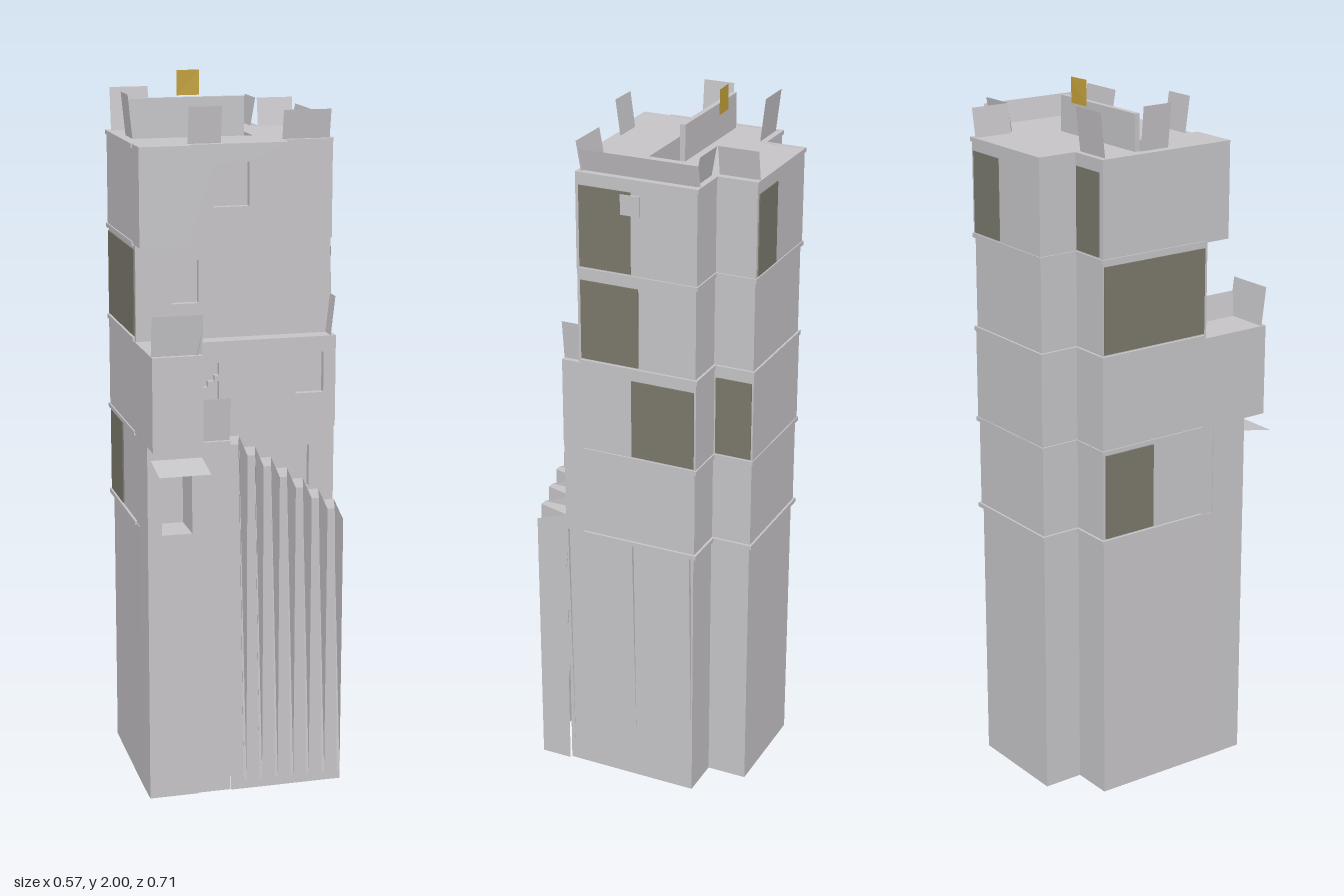
import * as THREE from 'three';

const mat = (name, color) => {
  const m = new THREE.MeshStandardMaterial({ color, side: THREE.DoubleSide, flatShading: true });
  m.name = name;
  return m;
};

export function createModel() {
  const stone = mat('stone grey', 0xc6c4c7);
  const glass = mat('dark window', 0x7b796c);
  const gold = mat('gold', 0xc4a23c);
  const group = new THREE.Group();

  const add = (name, geo, m = stone) => {
    const mesh = new THREE.Mesh(geo, m);
    mesh.name = name;
    group.add(mesh);
    return mesh;
  };
  const faces = (pts) => {
    const g = new THREE.BufferGeometry();
    g.setAttribute('position', new THREE.Float32BufferAttribute(pts.flat(), 3));
    g.computeVertexNormals();
    return g;
  };
  // four corners in order around the face
  const quad = (a, b, c, d) => [a, b, c, a, c, d];
  const plan = (pts) => new THREE.Shape(pts.map(([x, z]) => new THREE.Vector2(x, -z)));
  const rect = (x0, x1, y0, y1, T = THREE.Shape) => new T([[x0, y0], [x1, y0], [x1, y1], [x0, y1]]
    .map(([x, y]) => new THREE.Vector2(x, y)));
  // closed storey raised from a plan outline
  const storey = (name, shape, y0, y1) => {
    const g = new THREE.ExtrudeGeometry(shape, { depth: y1 - y0, bevelEnabled: false });
    g.rotateX(-Math.PI / 2).translate(0, y0, 0);
    return add(name, g);
  };
  // hollow shell, open at the bottom
  const shell = (name, pts, y1) => {
    const v = [];
    pts.forEach(([x, z], i) => {
      const [x2, z2] = pts[(i + 1) % pts.length];
      v.push(...quad([x, 0, z], [x2, 0, z2], [x2, y1, z2], [x, y1, z]));
    });
    add(name, faces(v));
    add(name + 'Top', new THREE.ShapeGeometry(plan(pts)).rotateX(-Math.PI / 2).translate(0, y1, 0));
  };
  // front wall with window openings
  const facade = (name, x0, x1, y0, y1, zFront, depth, openings) => {
    const s = rect(x0, x1, y0, y1);
    openings.forEach((o) => s.holes.push(rect(...o, THREE.Path)));
    add(name, new THREE.ExtrudeGeometry(s, { depth, bevelEnabled: false }).translate(0, 0, zFront - depth));
  };
  // outline: shared rear T shape, front edge given from right to left
  const rear = (e, front) => [
    [-0.28 + e, -0.24 + e], [-0.16 + e, -0.24 + e], [-0.16 + e, -0.355 + e], [0.16 - e, -0.355 + e],
    [0.16 - e, -0.24 + e], [0.28 - e, -0.24 + e], ...front].reverse();

  // lower tower, column and landing
  shell('towerBase', rear(0.007, [[0.273, 0.158], [-0.28, 0.158]]), 0.77);
  storey('lowerStorey', plan(rear(0.003, [[0.277, 0.14], [-0.277, 0.14]])), 0.77, 1.03);
  facade('lowerFront', -0.14, 0.277, 0.77, 1.03, 0.16, 0.02, [[0.15, 0.205, 0.86, 0.98]]);
  shell('frontColumn', [[-0.28, 0.158], [-0.28, 0.25], [-0.14, 0.25], [-0.14, 0.158]], 0.77);
  facade('columnWindowWall', -0.28, -0.14, 0.77, 1.03, 0.25, 0.11, [[-0.24, -0.155, 0.775, 0.975]]);
  shell('stairLanding', [[-0.14, 0.158], [-0.14, 0.246], [-0.045, 0.246], [-0.045, 0.158]], 1.03);
  add('awning', faces(quad([-0.27, 0.99, 0.25], [-0.127, 0.99, 0.25], [-0.127, 0.97, 0.355], [-0.27, 0.97, 0.355])));

  // outer stair: sawtooth treads over a pleated wall that flattens at the ground
  const stair = [];
  const n = 7, w = 0.325 / n;
  for (let i = 0; i < n; i++) {
    const x = -0.045 + i * w, y = 1.03 - i * 0.034 - 0.01, xm = x + 0.021, x2 = x + w;
    const yb = 0.025, zb = 0.25;
    stair.push(
      ...quad([x, y, 0.16], [x, y, 0.25], [xm, y, 0.25], [x2, y, 0.16]),
      ...quad([x, yb, zb], [x2 - 0.008, yb, zb], [xm, y, 0.25], [x, y, 0.25]),
      [x2 - 0.008, yb, zb], [x2, y, 0.16], [xm, y, 0.25],
      [x2 - 0.008, yb, zb], [x2, yb, zb], [x2, y, 0.16],
      [x2, yb, zb], [x2, y - 0.034, 0.25], [x2, y, 0.16],
      ...quad([x, 0, zb], [x2, 0, zb], [x2, yb, zb], [x, yb, zb]));
  }
  stair.push(...quad([0.28, 0, 0.25], [0.28, 0, 0.16], [0.28, 0.8, 0.16], [0.28, 0.77, 0.25]));
  add('outerStair', faces(stair));

  // upper storeys
  storey('middleStorey', plan(rear(0, [[0.28, 0.14], [-0.14, 0.14], [-0.14, 0.32], [-0.28, 0.32]])), 1.03, 1.29);
  facade('middleFront', -0.14, 0.28, 1.03, 1.29, 0.16, 0.02,
    [[0.165, 0.245, 1.13, 1.245], [-0.135, -0.055, 1.04, 1.23]]);
  storey('thirdStorey', plan(rear(0.003, [[0.277, 0.09], [-0.277, 0.09]])), 1.29, 1.56);
  facade('thirdFront', -0.277, 0.277, 1.29, 1.56, 0.11, 0.02, [[-0.175, -0.1, 1.39, 1.51]]);
  const top = plan(rear(0, [[0.28, 0.11], [0.14, 0.11], [0.14, 0.14], [-0.14, 0.14], [-0.14, 0.18], [-0.28, 0.18]]));
  top.holes.push(rect(-0.25, 0.085, 0.01, 0.1, THREE.Path));
  storey('topStorey', top, 1.56, 1.83);
  facade('topFront', -0.14, 0.14, 1.56, 1.83, 0.16, 0.02, [[-0.07, 0.03, 1.66, 1.78]]);

  // small steps in the doorway
  for (let i = 0; i < 3; i++) {
    add('doorStep', new THREE.BoxGeometry(0.018, 0.016, 0.02).translate(-0.095 + i * 0.018, 1.155 + i * 0.016, 0.148));
  }
  // stair descending through the roof opening
  for (let i = 0; i < 13; i++) {
    const h = 0.02 + i * 0.017;
    add('roofStep', new THREE.BoxGeometry(0.025, h, 0.088).translate(-0.235 + i * 0.0255, 1.56 + h / 2, -0.055));
  }
  add('stairHood', new THREE.BoxGeometry(0.335, 0.1, 0.015).translate(-0.0825, 1.88, -0.1075));

  // thin floor ledges around the rear and sides
  [0.77, 1.03, 1.295, 1.56, 1.825].forEach((y) => storey('floorLedge',
    plan([[-0.284, -0.244], [-0.164, -0.244], [-0.164, -0.358], [0.164, -0.358], [0.164, -0.244], [0.284, -0.244],
      [0.284, 0.1], [0.274, 0.1], [0.274, -0.232], [0.154, -0.232], [0.154, -0.347], [-0.154, -0.347],
      [-0.154, -0.232], [-0.274, -0.232], [-0.274, 0.1], [-0.284, 0.1]].reverse()), y - 0.006, y + 0.006));

  // leaning parapet panels: start, end, base height, height, lean
  [[[-0.27, -0.225], [-0.16, -0.225], 1.83, 0.12, [0, -0.014]],
    [[0.16, -0.225], [0.265, -0.225], 1.83, 0.08, [0, -0.014]],
    [[0.142, -0.355], [0.142, -0.24], 1.83, 0.08, [0.014, 0]],
    [[0.262, -0.24], [0.262, 0.1], 1.83, 0.06, [0.014, 0]],
    [[0.14, 0.095], [0.275, 0.095], 1.83, 0.08, [0, 0.014]],
    [[-0.137, 0.14], [-0.045, 0.14], 1.83, 0.1, [0, 0.014]],
    [[-0.255, -0.1], [-0.255, -0.01], 1.83, 0.12, [-0.012, 0]],
    [[0.265, 0.11], [0.265, 0.16], 1.29, 0.11, [0.012, 0]],
    [[-0.137, 0.234], [-0.045, 0.234], 1.03, 0.12, [0, 0.014]],
    [[-0.28, 0.305], [-0.14, 0.305], 1.29, 0.11, [0, 0.014]],
    [[-0.155, 0.18], [-0.155, 0.32], 1.29, 0.07, [0.014, 0]],
  ].forEach(([[ax, az], [bx, bz], y, h, [lx, lz]]) => add('parapet', faces(quad(
    [ax, y, az], [bx, y, bz], [bx + lx, y + h, bz + lz], [ax + lx, y + h, az + lz]))));

  // dark windows: side panels at fixed x, rear panels at fixed z
  const sidePane = (x, z0, z1, y0, y1) => add('sideWindow',
    new THREE.BoxGeometry(0.006, y1 - y0, z1 - z0).translate(x, (y0 + y1) / 2, (z0 + z1) / 2), glass);
  const rearPane = (z, x0, x1, y0, y1) => add('rearWindow',
    new THREE.BoxGeometry(x1 - x0, y1 - y0, 0.006).translate((x0 + x1) / 2, (y0 + y1) / 2, z), glass);
  sidePane(0.28, -0.235, -0.05, 1.04, 1.265);
  sidePane(0.16, -0.35, -0.245, 1.04, 1.265);
  sidePane(0.278, -0.07, 0.1, 1.305, 1.53);
  sidePane(0.28, -0.05, 0.1, 1.57, 1.795);
  sidePane(-0.278, -0.235, 0.1, 1.305, 1.545);
  sidePane(-0.278, -0.23, -0.07, 0.78, 1.02);
  rearPane(-0.355, 0.03, 0.15, 1.57, 1.795);
  rearPane(-0.24, -0.265, -0.165, 1.57, 1.795);
  add('smallSideWindow', new THREE.BoxGeometry(0.012, 0.055, 0.055).translate(0.28, 1.76, -0.05));

  // tapering seams on the side wall
  [[0.15, 0.02], [-0.05, 0.13], [-0.225, 0.14]].forEach(([z, y]) => add('wallSeam', faces([
    [0.273, 0.77, z + 0.006], [0.282, 0.77, z - 0.004], [0.274, y, z - 0.006]])));

  // gold flag
  add('flag', faces(quad([-0.095, 1.93, -0.159], [-0.03, 1.93, -0.161], [-0.03, 2, -0.162], [-0.095, 2, -0.158])), gold);
  return group;
}
